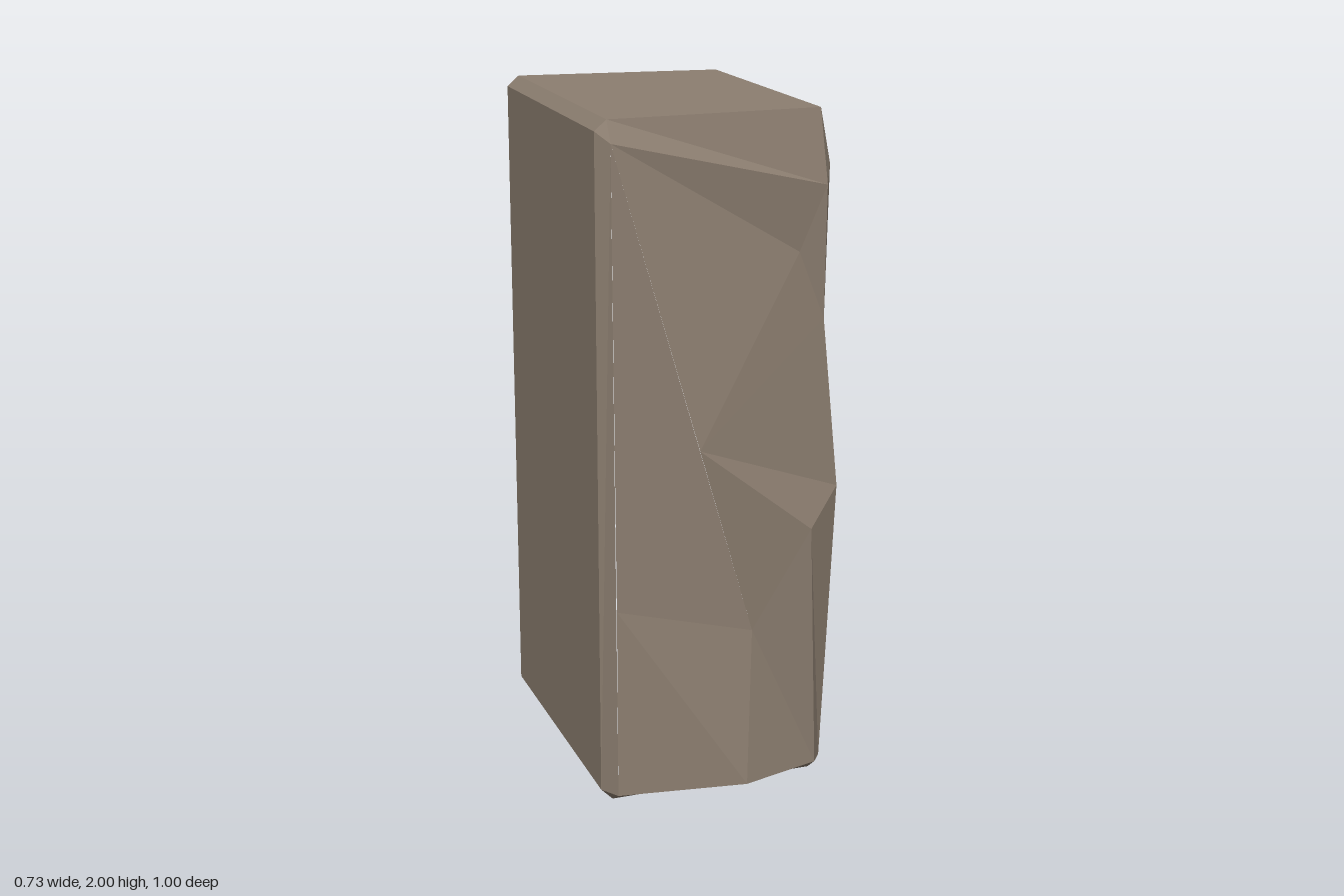
import * as THREE from 'three';

const V = (x, y, z) => new THREE.Vector3(x, y, z);
const CENTRE = V(0, 1, 0);

// Each box corner is cut off; its three points lie on the x, y and z face.
const corner = (x, y, z) => ({ x: V(...x), y: V(...y), z: V(...z) });
const C = {
  '---': corner([-0.365, 0.035, -0.465], [-0.33, 0, -0.465], [-0.33, 0.19, -0.5]),
  '--+': corner([-0.365, 0.035, 0.39], [-0.33, 0, 0.39], [-0.33, 0.035, 0.445]),
  '-+-': corner([-0.365, 1.97, -0.465], [-0.33, 2, -0.465], [-0.33, 1.97, -0.5]),
  '-++': corner([-0.365, 1.97, 0.39], [-0.33, 2, 0.39], [-0.33, 1.94, 0.425]),
  '+--': corner([0.325, 0.05, -0.46], [0.29, 0, -0.46], [0.28, 0.04, -0.5]),
  '+-+': corner([0.325, 0.035, 0.39], [0.29, 0, 0.39], [0.295, 0.035, 0.43]),
  '++-': corner([0.335, 1.97, -0.4], [0.275, 2, -0.385], [0.26, 1.965, -0.43]),
  '+++': corner([0.325, 1.84, 0.38], [0.29, 2, 0.39], [0.3, 1.79, 0.425]),
};

// Fan-triangulates polygons, turning every triangle away from the block's centre.
function facets(polygons) {
  const pos = [];
  for (const [a, ...rest] of polygons) {
    for (let i = 0; i + 1 < rest.length; i++) {
      let b = rest[i], c = rest[i + 1];
      const n = b.clone().sub(a).cross(c.clone().sub(a));
      if (n.dot(a.clone().add(b).add(c).divideScalar(3).sub(CENTRE)) < 0) [b, c] = [c, b];
      for (const p of [a, b, c]) pos.push(p.x, p.y, p.z);
    }
  }
  const g = new THREE.BufferGeometry();
  g.setAttribute('position', new THREE.Float32BufferAttribute(pos, 3));
  g.computeVertexNormals();
  return g;
}

export function createModel() {
  const group = new THREE.Group();
  const stone = new THREE.MeshStandardMaterial({ color: 0x8c7e70 });
  stone.name = 'stone';
  const add = (name, polygons) => {
    const mesh = new THREE.Mesh(facets(polygons), stone);
    mesh.name = name;
    group.add(mesh);
  };

  // Smooth faces
  const side = (axis, keys) => [keys.map((k) => C[k][axis])];
  add('topFace', side('y', ['-++', '+++', '++-', '-+-']));
  add('bottomFace', side('y', ['--+', '+-+', '+--', '---']));
  add('leftFace', side('x', ['---', '--+', '-++', '-+-']));
  add('backFace', side('z', ['---', '+--', '++-', '-+-']));

  // Corner chips
  add('cornerChips', Object.values(C).map((c) => [c.x, c.y, c.z]));

  // Plain bevels along the edges: two corners and the two faces that meet
  const bevel = (k, l, a, b) => [C[k][a], C[l][a], C[l][b], C[k][b]];
  const bevels = [];
  for (const s of ['-', '+']) {
    for (const t of ['-', '+']) {
      if (s + t !== '-+') bevels.push(bevel(s + t + '-', s + t + '+', 'x', 'y'));
      else bevels.push(bevel('-+-', '-++', 'x', 'y'));
      bevels.push(bevel('-' + s + t, '+' + s + t, 'y', 'z'));
    }
    bevels.push(bevel('--' + s, '-+' + s, 'x', 'z'));
  }
  add('edgeBevels', bevels);

  // Points of the rough front
  const peak = V(-0.1, 1.08, 0.497), hollow = V(0.08, 0.5, 0.45), foot = V(0.05, 0.035, 0.5);
  const ridge = V(0.25, 0.8, 0.475), notch = V(0.23, 1.6, 0.4), leftEdge = V(-0.33, 0.61, 0.445);
  const rimHigh = V(0.31, 1.4, 0.395), rimLow = V(0.355, 0.9, 0.41);
  const tl = C['-++'].z, tr = C['+++'].z, bl = C['--+'].z, br = C['+-+'].z;
  add('roughFront', [
    [tl, peak, notch, tr],
    [tl, leftEdge, hollow, peak],
    [leftEdge, bl, foot, hollow],
    [peak, hollow, ridge],
    [hollow, foot, br, ridge],
    [peak, ridge, rimLow, rimHigh, notch],
    [bl, foot, br],
  ]);
  add('frontRightEdge', [
    [tr, notch, rimHigh, C['+++'].x],
    [ridge, br, C['+-+'].x, rimLow],
  ]);

  // Points of the right side with its bump near the back
  const p = V(0.322, 1.6, 0.08), q = V(0.355, 1.55, -0.1), r = V(0.36, 1.66, -0.25);
  const backHigh = V(0.34, 1.1, -0.42), backLow = V(0.34, 0.65, -0.442);
  const X = { fu: C['+++'].x, bu: C['++-'].x, fd: C['+-+'].x, bd: C['+--'].x };
  add('rightSide', [
    [p, X.bu, X.fu, rimHigh, rimLow, backLow, backHigh],
    [rimLow, X.fd, X.bd, backLow],
  ]);
  add('rightBump', [
    [p, q, r, X.bu],
    [p, backHigh, q],
    [q, backHigh, r],
    [r, backHigh, X.bu],
  ]);
  add('backRightEdge', [[C['++-'].z, X.bu, backHigh, backLow, X.bd, C['+--'].z]]);

  return group;
}
